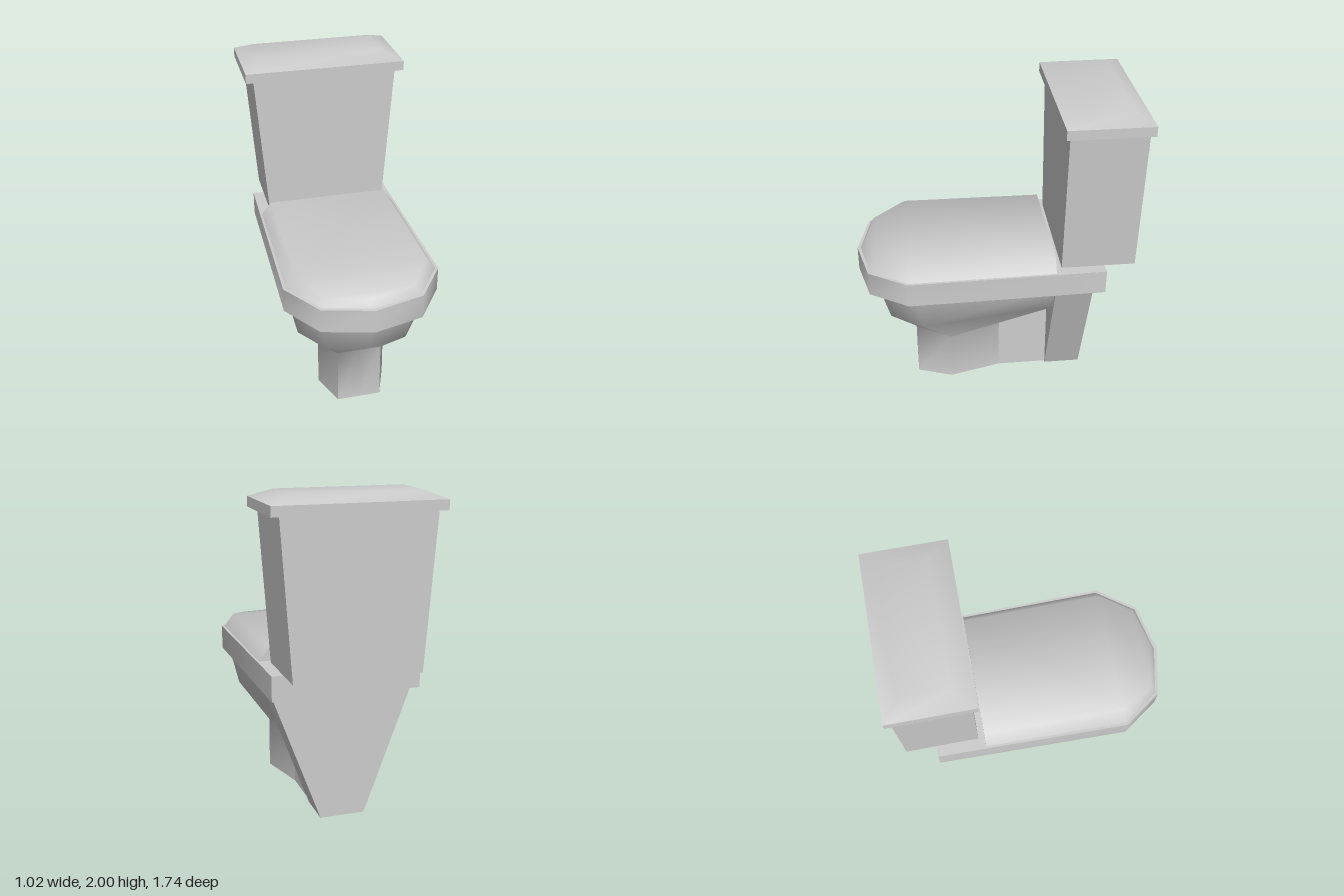
import * as THREE from 'three';
import { toCreasedNormals } from 'three/addons/utils/BufferGeometryUtils.js';

const ceramic = new THREE.MeshStandardMaterial({ color: 0xcccccc });
ceramic.name = 'ceramic grey';

// Complete a half outline (front to back on the +x side) into a closed ring
function mirrorRing(half) {
  const left = half.filter(p => p[0] > 0).reverse().map(([x, y, z]) => [-x, y, z]);
  return half.concat(left);
}

// Skin a stack of rings from bottom to top and cap both ends with strips across x
function loft(name, halves, crease) {
  const rings = halves.map(mirrorRing);
  const n = rings[0].length;
  const pos = [];
  const tri = (a, b, c) => pos.push(...a, ...b, ...c);
  for (let r = 0; r < rings.length - 1; r++) {
    const lo = rings[r], hi = rings[r + 1];
    for (let i = 0; i < n; i++) {
      const j = (i + 1) % n;
      tri(lo[i], lo[j], hi[j]);
      tri(lo[i], hi[j], hi[i]);
    }
  }
  const cap = (ring, up) => {
    const face = (a, b, c) => {
      if (a === b || b === c || a === c) return;
      up ? tri(ring[a], ring[b], ring[c]) : tri(ring[a], ring[c], ring[b]);
    };
    for (let a = 0, b = n % 2 ? n : n - 1; a + 1 < b; a++, b--) {
      face(a, a + 1, b % n);
      face(a + 1, b - 1, b % n);
    }
  };
  cap(rings[0], false);
  cap(rings[rings.length - 1], true);
  const geo = new THREE.BufferGeometry();
  geo.setAttribute('position', new THREE.Float32BufferAttribute(pos, 3));
  const mesh = new THREE.Mesh(toCreasedNormals(geo, crease), ceramic);
  mesh.name = name;
  return mesh;
}

// Rectangular ring: half width, height, front z, back z
const rect = (x, y, front, back) => [[x, y, front], [x, y, back]];

export function createModel() {
  const group = new THREE.Group();
  group.name = 'toilet';

  // Cistern, widening upwards
  group.add(loft('cistern', [
    rect(0.39, 0.96, -0.39, -0.85),
    rect(0.46, 1.89, -0.39, -0.85),
  ], 0.5));

  // Cistern lid with a bevelled top
  group.add(loft('cisternLid', [
    rect(0.51, 1.89, -0.36, -0.87),
    rect(0.51, 1.95, -0.36, -0.87),
    rect(0.39, 2.0, -0.49, -0.77),
  ], 0.8));

  // Rim slab
  group.add(loft('rim', [
    [[0, 0.785, 0.87], [0.31, 0.793, 0.8], [0.48, 0.805, 0.56], [0.46, 0.805, -0.66]],
    [[0, 0.94, 0.87], [0.31, 0.948, 0.8], [0.48, 0.96, 0.56], [0.46, 0.96, -0.66]],
  ], 0.8));

  // Seat lid, domed and falling away at the front
  group.add(loft('seatLid', [
    [[0, 0.935, 0.855], [0.3, 0.943, 0.79], [0.467, 0.955, 0.555], [0.455, 0.955, -0.35]],
    [[0, 0.99, 0.82], [0.27, 1.0, 0.76], [0.4, 1.04, 0.555], [0.39, 1.04, -0.35]],
  ], 1.1));

  // Bowl narrowing into the hexagonal foot
  const foot = y => [[0, y, 0.52], [0.14, y, 0.52], [0.22, y, 0.3], [0.135, y, -0.03]];
  const neck = foot(0.39);
  neck[2][1] = 0.34;
  group.add(loft('bowl', [
    foot(0.01),
    neck,
    [[0, 0.57, 0.74], [0.25, 0.57, 0.68], [0.385, 0.57, 0.48], [0.36, 0.64, -0.35]],
    [[0, 0.79, 0.8], [0.28, 0.795, 0.735], [0.44, 0.81, 0.52], [0.415, 0.81, -0.35]],
  ], 1.0));

  // Web joining the foot to the rear support
  const web = new THREE.Shape([[-0.03, 0.01], [-0.03, 0.39], [-0.35, 0.64], [-0.35, 0.01]]
    .map(([z, y]) => new THREE.Vector2(-z, y)));
  const webGeo = new THREE.ExtrudeGeometry(web, { depth: 0.27, bevelEnabled: false });
  webGeo.translate(0, 0, -0.135).rotateY(Math.PI / 2);
  const webMesh = new THREE.Mesh(webGeo, ceramic);
  webMesh.name = 'footWeb';
  group.add(webMesh);

  // Rear support, tapering to the floor
  group.add(loft('rearSupport', [
    rect(0.14, 0, -0.35, -0.585),
    rect(0.44, 0.805, -0.35, -0.585),
  ], 0.5));

  return group;
}
